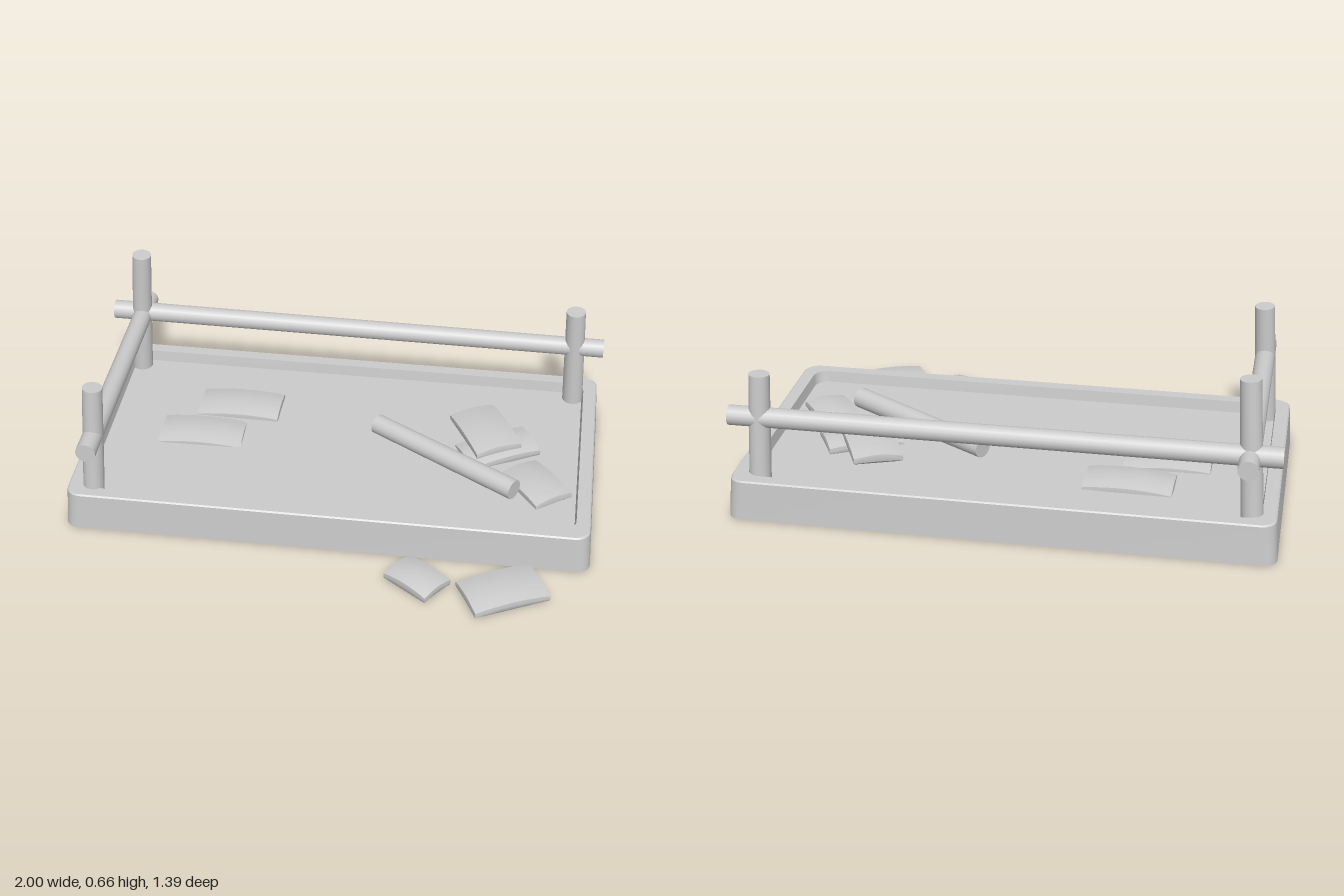
import * as THREE from 'three';
import { toCreasedNormals } from 'three/addons/utils/BufferGeometryUtils.js';

const grey = new THREE.MeshStandardMaterial({ color: 0xcccccc });
const greyThin = new THREE.MeshStandardMaterial({ color: 0xcccccc, side: THREE.DoubleSide });

// Outline of a rounded rectangle at height y
function roundedRing(hx, hz, r, y) {
  const pts = [];
  const steps = 6;
  [[1, 1], [-1, 1], [-1, -1], [1, -1]].forEach(([sx, sz], corner) => {
    for (let i = 0; i <= steps; i++) {
      const a = (corner + i / steps) * Math.PI / 2;
      pts.push([sx * (hx - r) + r * Math.cos(a), y, sz * (hz - r) + r * Math.sin(a)]);
    }
  });
  return pts;
}

// Skin stacked rings, optionally closing the last one
function loft(rings, capEnd) {
  const n = rings[0].length;
  const pos = rings.flat(2);
  const index = [];
  for (let k = 0; k < rings.length - 1; k++) {
    for (let i = 0; i < n; i++) {
      const a = k * n + i, b = k * n + (i + 1) % n;
      index.push(a, a + n, b, b, a + n, b + n);
    }
  }
  if (capEnd) {
    const base = (rings.length - 1) * n;
    for (let i = 1; i < n - 1; i++) index.push(base, base + i + 1, base + i);
  }
  const g = new THREE.BufferGeometry();
  g.setAttribute('position', new THREE.Float32BufferAttribute(pos, 3));
  g.setIndex(index);
  return toCreasedNormals(g, 0.5);
}

// Tapered pole between two points
function pole(name, from, to, r0, r1) {
  const a = new THREE.Vector3(...from), b = new THREE.Vector3(...to);
  const dir = b.clone().sub(a);
  const mesh = new THREE.Mesh(new THREE.CylinderGeometry(r1, r0, dir.length(), 16), grey);
  mesh.name = name;
  mesh.position.copy(a).add(b).multiplyScalar(0.5);
  mesh.quaternion.setFromUnitVectors(new THREE.Vector3(0, 1, 0), dir.normalize());
  return mesh;
}

// Thin slab with a gently domed top and a narrower underside
function slabGeometry(w, h, d) {
  const g = new THREE.BoxGeometry(w, h, d, 8, 3, 6);
  const p = g.attributes.position;
  for (let i = 0; i < p.count; i++) {
    const u = 2 * p.getX(i) / w, v = 2 * p.getZ(i) / d, t = p.getY(i) / h + 0.5;
    const s = t < 0.5 ? 0.86 + 0.35 * t : 1 - 0.04 * (t - 0.5);
    const dome = t * 0.22 * h * (u * u + v * v);
    p.setXYZ(i, p.getX(i) * s, p.getY(i) - dome, p.getZ(i) * s);
  }
  return toCreasedNormals(g, 0.6);
}

export function createModel() {
  const model = new THREE.Group();

  // Shallow tray, open underneath, with a raised rim
  const tray = new THREE.Mesh(loft([
    roundedRing(1, 0.5275, 0.05, 0),
    roundedRing(0.99, 0.5225, 0.055, 0.15),
    roundedRing(0.985, 0.517, 0.055, 0.155),
    roundedRing(0.937, 0.47, 0.05, 0.155),
    roundedRing(0.932, 0.465, 0.05, 0.11),
  ], true), greyThin);
  tray.name = 'tray';
  tray.position.z = -0.1625;
  model.add(tray);

  // Fence posts and rails
  model.add(
    pole('cornerPost', [-0.905, 0.07, -0.593], [-0.87, 0.66, -0.572], 0.041, 0.038),
    pole('frontPost', [-0.9, 0.06, 0.283], [-0.872, 0.59, 0.26], 0.041, 0.038),
    pole('backPost', [0.896, 0.07, -0.593], [0.879, 0.54, -0.575], 0.041, 0.038),
    pole('backRail', [-1, 0.378, -0.592], [1, 0.371, -0.583], 0.038, 0.037),
    pole('sideRail', [-0.883, 0.381, 0.39], [-0.883, 0.371, -0.7], 0.038, 0.037),
    pole('looseLog', [0.13, 0.15, -0.255], [0.695, 0.15, 0.095], 0.039, 0.04),
  );

  // Loose stone slabs: x, y, z, length, width, turn and tilts in degrees
  [
    [-0.44, 0.112, -0.357, 0.335, 0.18, -1, 0, 1],
    [-0.56, 0.107, -0.16, 0.335, 0.18, 1, 0, -1],
    [0.56, 0.15, -0.27, 0.295, 0.19, -64, 3, 2],
    [0.615, 0.122, -0.195, 0.295, 0.17, 28, 0, 3],
    [0.775, 0.118, 0.005, 0.257, 0.165, -54, 2, 3],
    [0.37, 0.03, 0.51, 0.205, 0.145, -36, 0, 0],
    [0.687, 0.03, 0.534, 0.3, 0.19, 27, 0, 0],
  ].forEach(([x, y, z, w, d, turn, tiltX, tiltZ], i) => {
    const slab = new THREE.Mesh(slabGeometry(w, 0.055, d), grey);
    slab.name = 'stoneSlab' + (i + 1);
    slab.position.set(x, y, z);
    const rad = THREE.MathUtils.degToRad;
    slab.rotation.set(rad(tiltX), rad(turn), rad(tiltZ), 'YXZ');
    model.add(slab);
  });

  return model;
}
